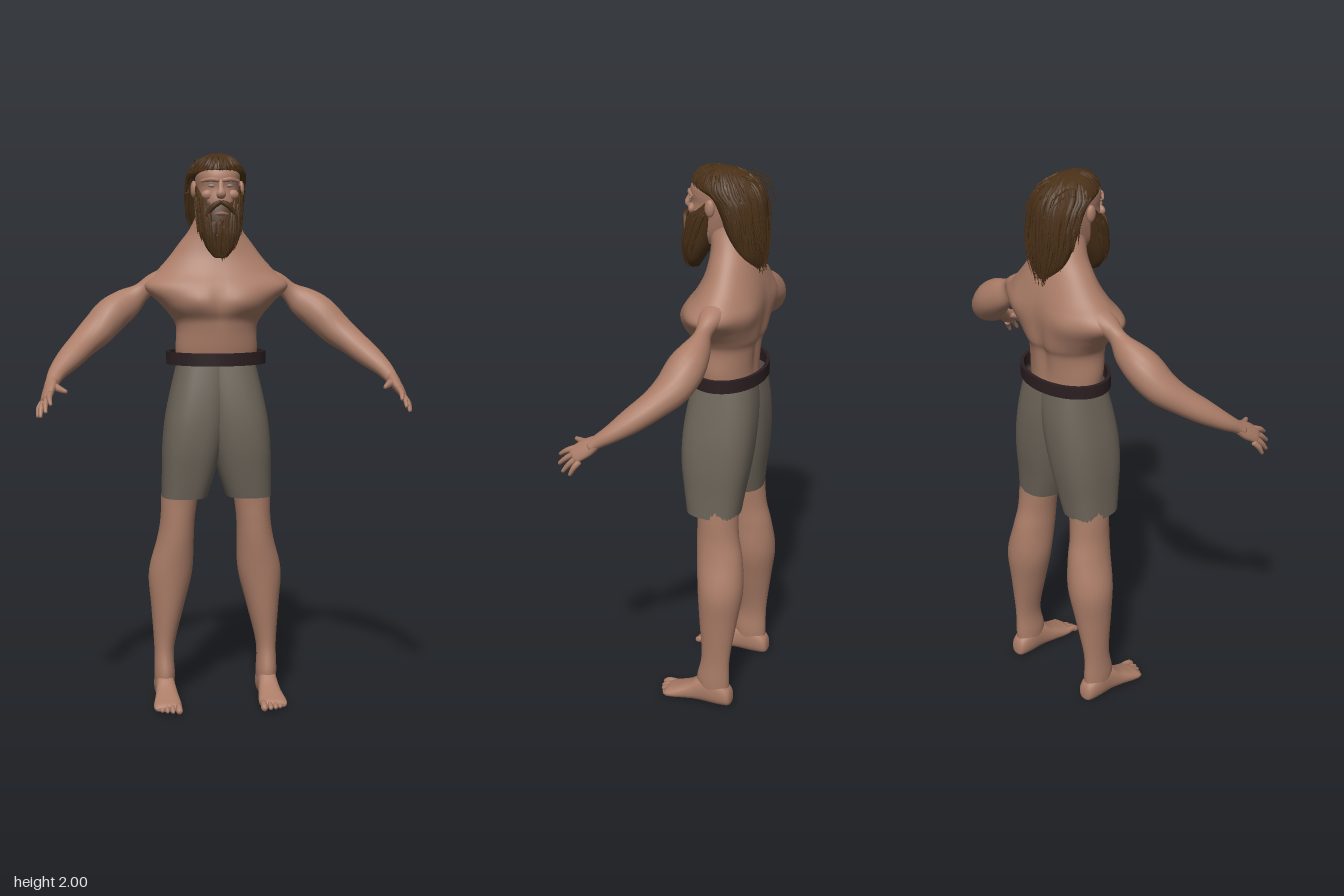
import * as THREE from 'three';
import { mergeGeometries } from 'three/addons/utils/BufferGeometryUtils.js';

const V = (x, y, z) => new THREE.Vector3(x, y, z);
const mat = (name, color, side = THREE.FrontSide) => {
  const m = new THREE.MeshStandardMaterial({ color, side });
  m.name = name;
  return m;
};

// seeded random numbers
let seed = 7;
const rnd = (a = 0, b = 1) => {
  seed = (seed * 16807) % 2147483647;
  return a + (b - a) * (seed / 2147483647);
};

// Catmull-Rom subdivision of rows of numbers
function smooth(rows, k) {
  const out = [], n = rows.length - 1;
  for (let i = 0; i < n; i++) {
    const p = [rows[Math.max(i - 1, 0)], rows[i], rows[i + 1], rows[Math.min(i + 2, n)]];
    for (let j = 0; j < k; j++) {
      const t = j / k;
      out.push(rows[i].map((_, c) => {
        const [a, b, d, e] = p.map((r) => r[c]);
        return 0.5 * (2 * b + (d - a) * t + (2 * a - 5 * b + 4 * d - e) * t * t + (3 * b - a - 3 * d + e) * t ** 3);
      }));
    }
  }
  out.push(rows[n]);
  return out;
}

// skin over closed rings, with optional end points
function skinRings(rings, tips, flip = false) {
  const n = rings[0].length, m = rings.length, idx = [], pts = rings.flat();
  const tri = (a, b, c) => (flip ? idx.push(a, c, b) : idx.push(a, b, c));
  for (let i = 0; i < m - 1; i++) for (let j = 0; j < n; j++) {
    const a = i * n + j, b = i * n + (j + 1) % n;
    tri(a, b, b + n);
    tri(a, b + n, a + n);
  }
  if (tips) {
    pts.push(...tips);
    for (let j = 0; j < n; j++) {
      const k = (j + 1) % n, e = (m - 1) * n;
      tri(m * n, k, j);
      tri(m * n + 1, e + j, e + k);
    }
  }
  const g = new THREE.BufferGeometry().setFromPoints(pts);
  g.setIndex(idx);
  g.computeVertexNormals();
  return g;
}

// point on a section row [level, centre x, half width, high, low]
const onRow = ([w, cx, hw, hi, lo], a, e = 1) => {
  const s = Math.sin(a), c = Math.cos(a), f = (v) => Math.sign(v) * Math.abs(v) ** e;
  return V(cx + hw * f(s), w, (hi + lo) / 2 + ((hi - lo) / 2) * f(c));
};

// stack of oval sections; lying = sections advance along z instead of y
function stack(rows, { n = 32, k = 5, e = 1, open = false, lying = false } = {}) {
  const put = (p) => (lying ? V(p.x, p.z, p.y) : p);
  const rings = smooth(rows, k).map((r) => Array.from({ length: n }, (_, j) => put(onRow(r, (j / n) * Math.PI * 2, e))));
  const mid = (r) => put(V(r[1], r[0], (r[3] + r[4]) / 2));
  return skinRings(rings, open ? null : [mid(rows[0]), mid(rows[rows.length - 1])], lying);
}

// tapered limb through rows [x, y, z, width radius, depth radius]
function limb(rows, n = 10, k = 4, ref = V(0, 1, 0)) {
  const s = smooth(rows, k), P = s.map((r) => V(r[0], r[1], r[2]));
  const T = P.map((_, i) => P[Math.min(i + 1, P.length - 1)].clone().sub(P[Math.max(i - 1, 0)]).normalize());
  const rings = s.map((r, i) => {
    const u = ref.clone().cross(T[i]).normalize(), v = T[i].clone().cross(u);
    return Array.from({ length: n }, (_, j) => {
      const a = (j / n) * Math.PI * 2;
      return P[i].clone().addScaledVector(u, r[3] * Math.cos(a)).addScaledVector(v, r[4] * Math.sin(a));
    });
  });
  const z = P.length - 1;
  return skinRings(rings, [P[0].clone().addScaledVector(T[0], -s[0][4] * 0.6), P[z].clone().addScaledVector(T[z], s[z][4] * 0.6)]);
}

function mirror(g) {
  const m = g.clone().scale(-1, 1, 1), ix = m.index.array;
  for (let i = 0; i < ix.length; i += 3) [ix[i], ix[i + 1]] = [ix[i + 1], ix[i]];
  m.computeVertexNormals();
  return m;
}

// section of a hair mass at height y
function rowAt(rows, y) {
  let i = 0;
  while (i < rows.length - 2 && rows[i + 1][0] < y) i++;
  const t = THREE.MathUtils.clamp((y - rows[i][0]) / (rows[i + 1][0] - rows[i][0]), 0, 1);
  const r = rows[i].map((v, c) => v + (rows[i + 1][c] - v) * t);
  r[0] = y;
  return r;
}

// lock of hair running down the surface of a hair mass
function lock(rows, a, top, end, width, lift) {
  const pts = [], drift = rnd(-0.15, 0.15), N = 6;
  for (let i = 0; i <= N; i++) {
    const t = i / N, r = rowAt(rows, top + (end - top) * t), off = 0.002 + lift * t;
    r[2] += off; r[3] += off; r[4] -= off;
    const p = onRow(r, a + drift * t);
    const w = width * (1 - t * t * 0.9);
    pts.push([p.x, p.y, p.z, w, w * 0.7]);
  }
  return limb(pts, 5, 2, V(Math.sin(a), 0.01, Math.cos(a)));
}

export function createModel() {
  const model = new THREE.Group();
  model.name = 'beardedMan';
  const skin = mat('skin', 0xab7d68), cloth = mat('shortsCloth', 0x6c6459, THREE.DoubleSide);
  const leather = mat('beltLeather', 0x2b1e20), hair = mat('hair', 0x4b3118);
  const eye = mat('eye', 0x8d8078), lip = mat('lip', 0x94685a);
  const add = (name, g, m) => {
    const o = new THREE.Mesh(g, m);
    o.name = name;
    model.add(o);
  };
  const pair = (name, g, m) => {
    add('left' + name, g, m);
    add('right' + name, mirror(g), m);
  };

  // torso with chest, shoulder blade and spine relief
  const torso = stack([
    [1.22, 0, 0.135, -0.01, -0.2], [1.3, 0, 0.147, 0.01, -0.2], [1.38, 0, 0.145, 0.022, -0.21],
    [1.42, 0, 0.162, 0.036, -0.225], [1.47, 0, 0.205, 0.045, -0.232], [1.53, 0, 0.26, 0.03, -0.235],
    [1.58, 0, 0.215, -0.002, -0.23], [1.63, 0, 0.17, -0.026, -0.218], [1.68, 0, 0.132, -0.038, -0.202],
    [1.73, 0, 0.095, -0.04, -0.185], [1.79, 0, 0.068, -0.03, -0.165], [1.84, 0, 0.06, -0.03, -0.15]], { n: 56, k: 6 });
  const bell = (v, c, w) => Math.exp(-(((v - c) / w) ** 2));
  const p = torso.attributes.position;
  for (let i = 0; i < p.count; i++) {
    const x = Math.abs(p.getX(i)), y = p.getY(i), z = p.getZ(i);
    const front = 0.014 * bell(x, 0.08, 0.06) * bell(y, 1.485, 0.04) - 0.008 * bell(x, 0, 0.02) * bell(y, 1.48, 0.08)
      - 0.006 * bell(y, 1.415, 0.02);
    const back = 0.016 * bell(x, 0, 0.025) * bell(y, 1.42, 0.13) - 0.01 * bell(x, 0.12, 0.05) * bell(y, 1.53, 0.06);
    p.setZ(i, z + (z > -0.06 ? front : z < -0.14 ? back : 0));
  }
  torso.computeVertexNormals();
  add('torso', torso, skin);

  // arms and hands
  pair('Arm', limb([
    [0.17, 1.56, -0.12, 0.05, 0.04], [0.225, 1.54, -0.118, 0.042, 0.034], [0.268, 1.508, -0.115, 0.027, 0.034],
    [0.315, 1.472, -0.114, 0.044, 0.054], [0.375, 1.43, -0.1, 0.065, 0.063], [0.43, 1.375, -0.075, 0.066, 0.058],
    [0.483, 1.33, -0.032, 0.054, 0.048], [0.533, 1.285, 0.025, 0.047, 0.041], [0.575, 1.245, 0.08, 0.033, 0.03],
    [0.595, 1.215, 0.125, 0.024, 0.022], [0.602, 1.2, 0.145, 0.024, 0.018]], 20), skin);
  pair('Palm', limb([[0.593, 1.222, 0.118, 0.02, 0.02], [0.605, 1.195, 0.155, 0.032, 0.019],
    [0.617, 1.17, 0.19, 0.031, 0.014], [0.621, 1.162, 0.2, 0.026, 0.01]], 14, 4, V(0.67, 0.55, 0.1)), skin);
  const tips = [[0.605, 1.152, 0.254], [0.622, 1.126, 0.25], [0.639, 1.108, 0.23], [0.648, 1.105, 0.2]];
  tips.forEach(([x, y, z], i) => {
    const b = [0.604 + i * 0.009, 1.184 - i * 0.011, 0.2 - i * 0.009];
    const m = [(b[0] + x) / 2 + 0.004, (b[1] + y) / 2 + 0.004, (b[2] + z) / 2];
    pair('Finger' + (i + 1), limb([[...b, 0.011, 0.011], [...m, 0.0095, 0.0095], [x, y, z, 0.006, 0.006]], 8), skin);
  });
  pair('Thumb', limb([[0.592, 1.205, 0.15, 0.016, 0.014], [0.57, 1.196, 0.185, 0.012, 0.011], [0.552, 1.192, 0.22, 0.007, 0.007]], 8), skin);

  // legs, feet and toes
  pair('Leg', stack([
    [0.03, 0.19, 0.034, -0.075, -0.182], [0.1, 0.19, 0.038, -0.06, -0.184], [0.2, 0.19, 0.037, -0.078, -0.185],
    [0.35, 0.177, 0.06, -0.066, -0.205], [0.48, 0.165, 0.08, -0.056, -0.222], [0.6, 0.148, 0.068, -0.045, -0.212],
    [0.68, 0.14, 0.063, -0.042, -0.196], [0.77, 0.133, 0.067, -0.04, -0.19], [0.92, 0.12, 0.07, -0.025, -0.19]], { n: 28 }), skin);
  pair('Foot', stack([
    [-0.197, 0.19, 0.012, 0.04, 0.018], [-0.186, 0.19, 0.03, 0.075, 0.004], [-0.14, 0.19, 0.038, 0.11, 0],
    [-0.08, 0.19, 0.036, 0.105, 0], [-0.03, 0.19, 0.042, 0.07, 0], [0.02, 0.192, 0.05, 0.045, 0],
    [0.048, 0.193, 0.05, 0.034, 0.002], [0.062, 0.193, 0.042, 0.022, 0.007]], { n: 24, lying: true, e: 0.85 }), skin);
  [0.155, 0.178, 0.197, 0.215, 0.231].forEach((x, i) => {
    const r = i ? 0.009 : 0.013, z = 0.088 - i * i * 0.0022;
    pair('Toe' + (i + 1), limb([[x, 0.02, 0.03, r, r], [x, 0.02, z - 0.025, r * 0.9, r], [x, 0.013, z - 0.01, r, r], [x, 0.011, z, r * 0.7, r * 0.7]], 10, 3), skin);
  });

  // shorts: two open legs meeting in a centre seam
  const halves = [[0.77, 0.035, 0.2, 0, -0.19], [0.85, 0.01, 0.198, 0.014, -0.2], [0.95, -0.015, 0.196, 0.028, -0.215],
    [1.05, -0.035, 0.186, 0.03, -0.224], [1.15, -0.05, 0.166, 0.02, -0.225], [1.26, -0.06, 0.14, 0, -0.215]];
  pair('ShortsLeg', stack(halves.map(([y, a, b, f, k]) => [y, (a + b) / 2, (b - a) / 2, f, k]), { n: 40, e: 0.78, open: true }), cloth);

  // belt standing clear of the waist
  const ring = new THREE.Shape().absellipse(0, 0, 0.18, 0.133, 0, Math.PI * 2);
  ring.holes.push(new THREE.Path().absellipse(0, 0, 0.168, 0.121, 0, Math.PI * 2, true));
  add('belt', new THREE.ExtrudeGeometry(ring, { depth: 0.045, bevelEnabled: false, curveSegments: 32 })
    .rotateX(-Math.PI / 2).translate(0, 1.252, -0.102), leather);

  // head and face
  add('head', stack([
    [1.73, 0, 0.035, 0.02, -0.09], [1.77, 0, 0.058, 0.038, -0.14], [1.83, 0, 0.072, 0.042, -0.18], [1.875, 0, 0.077, 0.034, -0.19],
    [1.905, 0, 0.08, 0.038, -0.19], [1.935, 0, 0.079, 0.031, -0.185], [1.97, 0, 0.058, 0.002, -0.15], [1.985, 0, 0.02, -0.04, -0.1]], { e: 0.9 }), skin);
  add('nose', limb([[0, 1.905, 0.032, 0.009, 0.008], [0, 1.875, 0.045, 0.011, 0.01], [0, 1.856, 0.052, 0.017, 0.011], [0, 1.845, 0.042, 0.014, 0.008]], 10, 4, V(0, 0.3, 1)), skin);
  pair('Brow', limb([[0.006, 1.902, 0.037, 0.006, 0.007], [0.035, 1.906, 0.033, 0.007, 0.008], [0.066, 1.9, 0.01, 0.004, 0.005]], 8), skin);
  pair('Cheek', new THREE.SphereGeometry(0.022, 14, 10).scale(1, 0.8, 0.6).translate(0.044, 1.853, 0.018), skin);
  pair('Eye', new THREE.SphereGeometry(0.011, 12, 8).scale(1.2, 0.55, 0.6).translate(0.031, 1.884, 0.0275), eye);
  pair('Ear', new THREE.SphereGeometry(0.03, 12, 10).scale(0.4, 1, 0.6).translate(0.084, 1.872, -0.06), skin);

  // hair: smooth mass covered with tapering locks
  const mane = [[1.66, 0, 0.03, -0.165, -0.212], [1.71, 0, 0.07, -0.13, -0.22], [1.78, 0, 0.09, -0.095, -0.222],
    [1.84, 0, 0.096, -0.07, -0.22], [1.9, 0, 0.097, -0.03, -0.216], [1.93, 0, 0.094, 0.024, -0.205],
    [1.955, 0, 0.082, 0.026, -0.19], [1.978, 0, 0.06, 0.008, -0.155], [1.99, 0, 0.035, -0.02, -0.115], [1.994, 0, 0.01, -0.05, -0.08]];
  add('hairMass', stack(mane, { n: 36 }), hair);
  const locks = [];
  for (let i = 0; i < 190; i++) {
    const a = Math.PI + rnd(-1.75, 1.75), side = Math.abs(a - Math.PI) / 1.75;
    locks.push(lock(mane, a, rnd(1.86, 1.992), 1.63 + 0.15 * side ** 2 + rnd(0, 0.13), rnd(0.004, 0.009), rnd(0.002, 0.014)));
  }
  for (let i = 0; i < 40; i++) locks.push(lock(mane, rnd(-1.4, 1.4), 1.992, rnd(1.925, 1.945), rnd(0.004, 0.007), 0.003));
  // loose wisps at the back
  for (let i = 0; i < 16; i++) {
    const x = rnd(-0.07, 0.07), y = rnd(1.87, 1.98), w = rnd(0.012, 0.03);
    locks.push(limb([[x, y, -0.15, 0.002, 0.002], [x, y - 0.02, -0.205, 0.002, 0.002], [x * 1.1, y - 0.08, -0.212 - w, 0.0008, 0.0008]], 4));
  }
  add('hairLocks', mergeGeometries(locks), hair);

  // beard, moustache and mouth
  const beard = [[1.635, 0, 0.022, 0.046, 0.01], [1.67, 0, 0.05, 0.054, -0.01], [1.72, 0, 0.067, 0.06, -0.04],
    [1.775, 0, 0.075, 0.056, -0.065], [1.815, 0, 0.079, 0.044, -0.08], [1.845, 0, 0.08, 0.022, -0.085], [1.885, 0, 0.082, -0.02, -0.085]];
  add('beardMass', stack(beard, { n: 32 }), hair);
  const tufts = [];
  for (let i = 0; i < 120; i++) {
    const a = rnd(-1.7, 1.7), s = Math.abs(a) / 1.7;
    const top = Math.abs(a) < 0.5 ? rnd(1.7, 1.77) : rnd(1.74, 1.83 + 0.04 * s);
    tufts.push(lock(beard, a, top, rnd(1.61, 1.68) + 0.07 * s, rnd(0.004, 0.008), rnd(0.001, 0.01)));
  }
  add('beardLocks', mergeGeometries(tufts), hair);
  pair('Moustache', limb([[0.002, 1.828, 0.051, 0.007, 0.008], [0.025, 1.816, 0.053, 0.009, 0.01], [0.046, 1.79, 0.044, 0.008, 0.009], [0.055, 1.755, 0.042, 0.003, 0.003]], 8), hair);
  add('mouth', limb([[-0.024, 1.786, 0.052, 0.003, 0.003], [0, 1.789, 0.058, 0.006, 0.007], [0.024, 1.786, 0.052, 0.003, 0.003]], 8), lip);
  return model;
}
